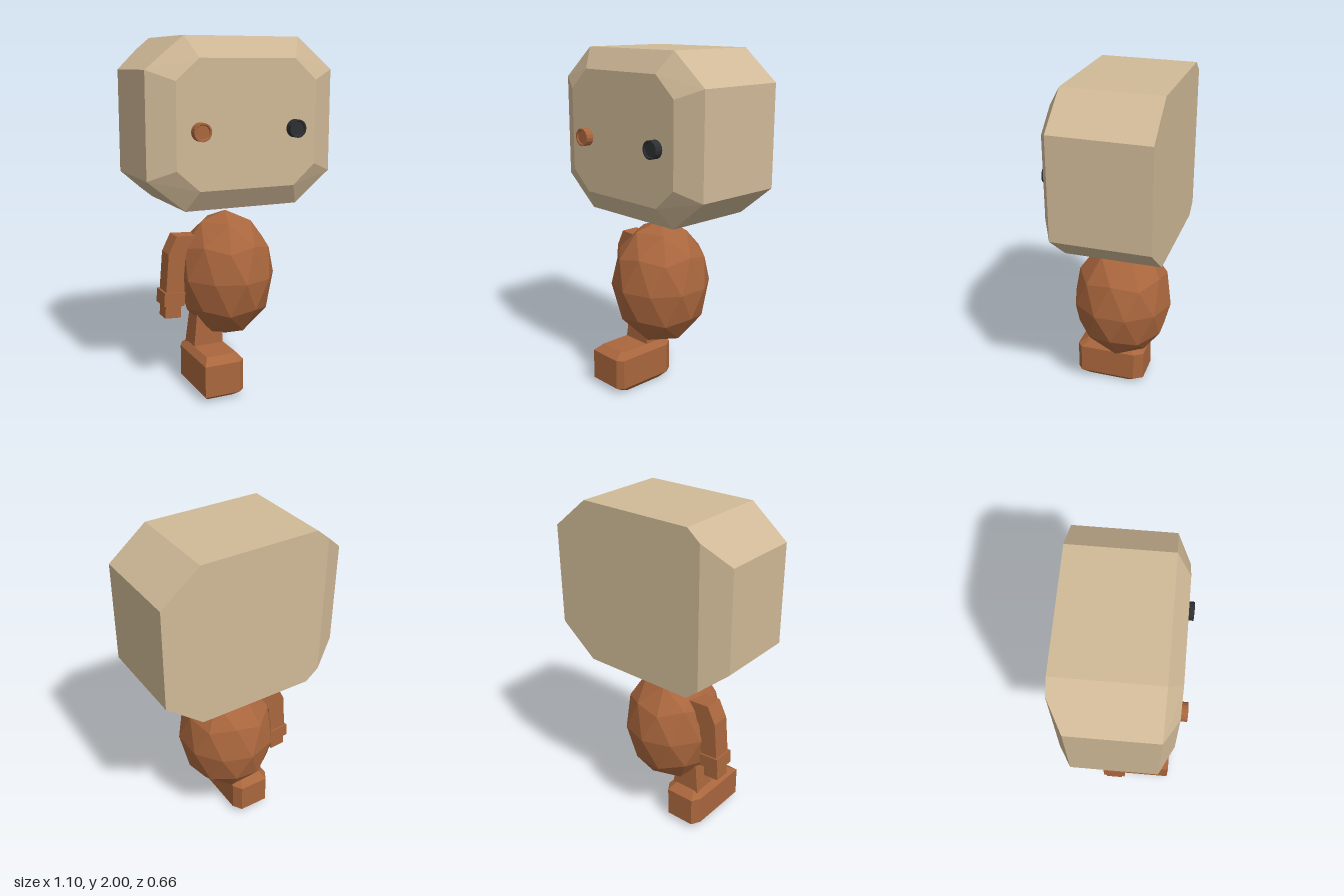
import * as THREE from 'three';
import { ConvexGeometry } from 'three/addons/geometries/ConvexGeometry.js';

const material = (name, color) => {
  const m = new THREE.MeshStandardMaterial({ color });
  m.name = name;
  return m;
};

// Closed faceted solid through corner points
const hull = (pts) => new ConvexGeometry(pts.map((p) => new THREE.Vector3(...p)));

// Facet a geometry: each face gets its own normal
function faceted(g) {
  const f = g.index ? g.toNonIndexed() : g;
  f.computeVertexNormals();
  return f;
}

// Corners of an octagon mirrored in x and about the height cy
function octagon(w, wIn, h, hIn, cy, z) {
  const pts = [];
  for (const sx of [-1, 1]) for (const sy of [-1, 1]) {
    pts.push([sx * wIn, cy + sy * h, z], [sx * w, cy + sy * hIn, z]);
  }
  return pts;
}

export function createModel() {
  const model = new THREE.Group();
  const tan = material('tan', 0xd0b997);
  const brown = material('brown', 0xa9663d);
  const black = material('charcoal', 0x2d2f32);

  const add = (name, geometry, mat, parent = model) => {
    const mesh = new THREE.Mesh(geometry, mat);
    mesh.name = name;
    parent.add(mesh);
    return mesh;
  };

  // Head: octagonal block, bevelled front, one back edge cut on the right
  const cy = 1.54;
  const headPoints = [
    ...octagon(0.41, 0.28, 0.345, 0.23, cy, 0.285),
    ...octagon(0.55, 0.335, 0.46, 0.285, cy, 0.21),
  ];
  for (const s of [-1, 1]) {
    headPoints.push(
      [0.335, cy + s * 0.46, -0.33], [0.55, cy + s * 0.285, -0.33],
      [-0.335, cy + s * 0.46, -0.33], [-0.41, cy + s * 0.399, -0.33],
      [-0.55, cy + s * 0.285, -0.25],
    );
  }
  add('head', hull(headPoints), tan);

  // Eyes: short studs with a slightly sunken centre
  const eyeProfile = [[0.05, -0.01], [0.05, 0.045], [0.041, 0.045], [0.037, 0.038], [0, 0.038]]
    .map((p) => new THREE.Vector2(...p));
  for (const [name, x, mat] of [['rightEye', -0.28, brown], ['leftEye', 0.28, black]]) {
    const eye = add(name, faceted(new THREE.LatheGeometry(eyeProfile, 16)), mat);
    eye.rotation.x = Math.PI / 2;
    eye.position.set(x, 1.51, 0.285);
  }

  // Body: faceted egg with a corner at the top
  const egg = new THREE.IcosahedronGeometry(1, 1);
  egg.rotateZ(Math.atan2(1, (1 + Math.sqrt(5)) / 2));
  egg.scale(0.285, 0.375, 0.295);
  egg.translate(0, 0.65, -0.015);
  add('body', faceted(egg), brown);

  // Right arm: bent sleeve, cuff and hand
  const arm = new THREE.Group();
  arm.name = 'rightArm';
  model.add(arm);
  const sleeve = new THREE.Shape([
    [-0.38, 0.56], [-0.27, 0.555], [-0.255, 0.75], [-0.23, 0.79],
    [-0.15, 0.785], [-0.15, 0.892], [-0.31, 0.9], [-0.36, 0.8],
  ].map((p) => new THREE.Vector2(...p)));
  const sleeveGeometry = new THREE.ExtrudeGeometry(sleeve, { depth: 0.11, bevelEnabled: false });
  sleeveGeometry.translate(0, 0, -0.1);
  add('sleeve', sleeveGeometry, brown, arm);
  for (const [name, x, y, w, h, d] of [
    ['cuff', -0.331, 0.535, 0.125, 0.08, 0.13],
    ['hand', -0.334, 0.465, 0.095, 0.09, 0.095],
  ]) {
    const part = add(name, new THREE.BoxGeometry(w, h, d), brown, arm);
    part.position.set(x, y, -0.045);
    part.rotation.z = -0.07;
  }

  // Right leg: slightly flared post
  const legPoints = [];
  for (const [x0, x1, y, d] of [[-0.23, -0.05, 0.24, 0.068], [-0.205, -0.05, 0.45, 0.058]]) {
    for (const x of [x0, x1]) for (const s of [-1, 1]) legPoints.push([x, y, -0.01 + s * d]);
  }
  add('rightLeg', hull(legPoints), brown);

  // Right foot: block with chamfered edges, from four stacked outlines
  const plan = [[-0.26, 0.295], [-0.05, 0.295], [-0.015, 0.265], [-0.015, -0.08],
    [-0.05, -0.135], [-0.23, -0.135], [-0.26, -0.08]];
  const footPoints = [];
  for (const [y, s] of [[0, 0.75], [0.035, 1], [0.215, 1], [0.25, 0.75]]) {
    for (const [x, z] of plan) {
      footPoints.push([-0.1375 + (x + 0.1375) * s, y, 0.08 + (z - 0.08) * s]);
    }
  }
  add('rightFoot', hull(footPoints), brown);

  return model;
}
